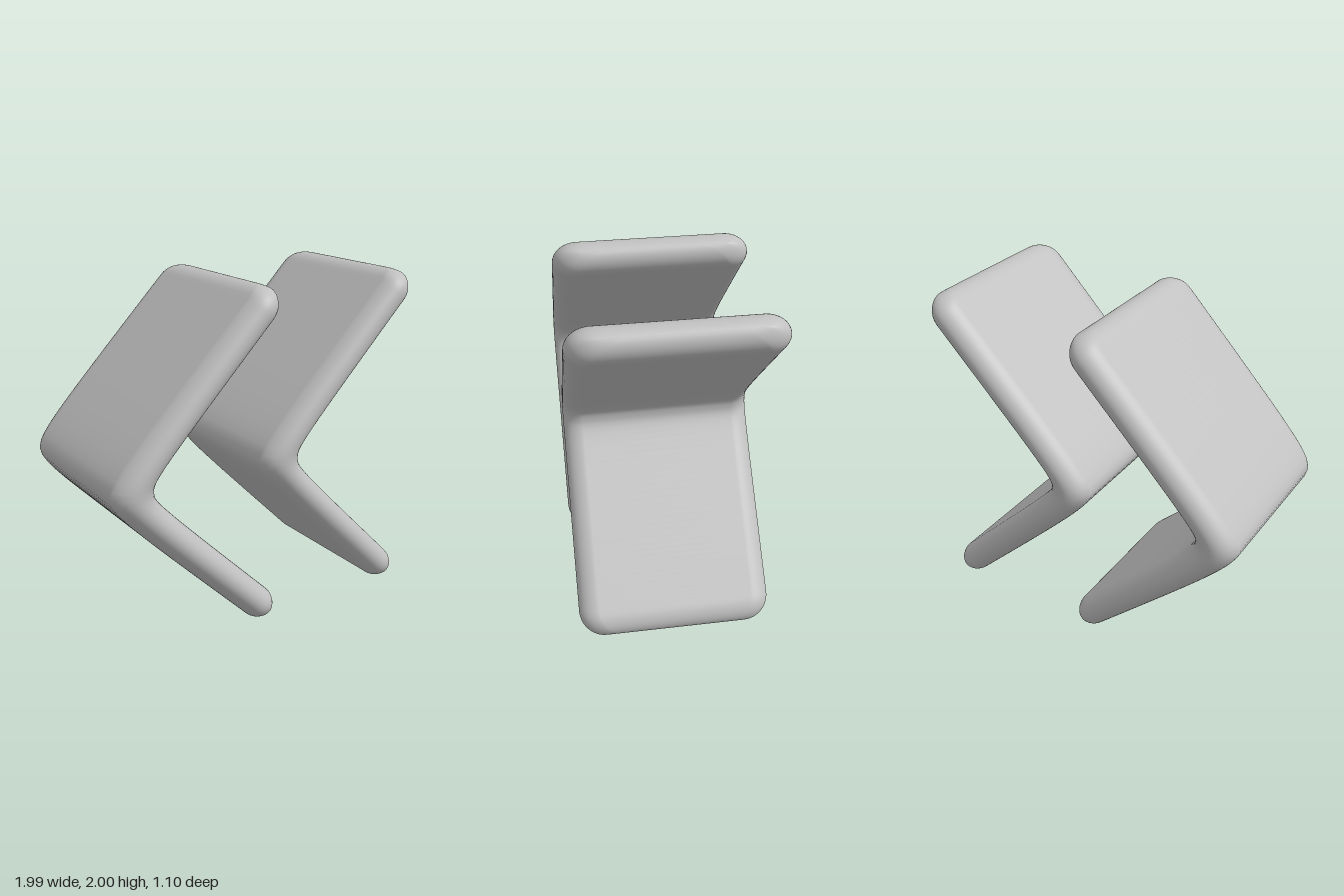
import * as THREE from 'three';

const ROWS = 96, RING = 40;
const D_END = 0.977;      // vertical reach of each arm from the bend
const HALF_DEPTH = 0.55, EDGE = 0.12, CORNER = 0.15, TIP = 0.12;

// quarter-round falloff: 0 at the end, 1 once past the given radius
const roundOff = (e, r) => {
  const q = 1 - Math.min(1, Math.max(0, e) / r);
  return Math.sqrt(1 - q * q);
};

// Soft slab swept along a bent path, with rounded rims, corners and tips
function chevronGeometry() {
  const pos = [], index = [];
  for (let i = 0; i <= ROWS; i++) {
    const d = D_END * Math.sin((i / ROWS - 0.5) * Math.PI);
    const mx = -0.955 + Math.hypot(d, 0.0825), my = 1 + d;
    // section direction turns gradually through the bend
    const u = d / Math.hypot(d, 0.3), len = Math.hypot(1, u);
    const dot = (1 + Math.abs(u)) / (Math.SQRT2 * len);
    const e = (D_END - Math.abs(d)) * Math.SQRT2;
    const h = Math.min(0.095 / dot, 0.1275) * roundOff(e, TIP);
    const w = HALF_DEPTH - CORNER * (1 - roundOff(e, CORNER));
    for (let k = 0; k < RING; k++) {
      const a = ((k + 0.5) / RING) * Math.PI * 2;
      const c = Math.cos(a), n = h * Math.sin(a);
      const z = Math.sign(c) * (w - EDGE + EDGE * Math.abs(c));
      pos.push(mx - n / len, my + (n * u) / len, z);
    }
  }
  for (let i = 0; i < ROWS; i++) {
    for (let k = 0; k < RING; k++) {
      const k2 = (k + 1) % RING;
      const a = i * RING + k, b = a + RING, c = i * RING + k2, d = c + RING;
      index.push(a, b, c, b, d, c);
    }
  }
  const geo = new THREE.BufferGeometry();
  geo.setAttribute('position', new THREE.Float32BufferAttribute(pos, 3));
  geo.setIndex(index);
  geo.computeVertexNormals();
  return geo;
}

export function createModel() {
  const group = new THREE.Group();
  group.name = 'doubleChevron';
  const grey = new THREE.MeshStandardMaterial({ color: 0xc0c0c0 });
  grey.name = 'light grey';
  const geo = chevronGeometry();
  // Two identical chevrons side by side
  ['rightChevron', 'leftChevron'].forEach((name, i) => {
    const mesh = new THREE.Mesh(geo, grey);
    mesh.name = name;
    mesh.position.x = i * 0.945;
    group.add(mesh);
  });
  return group;
}
